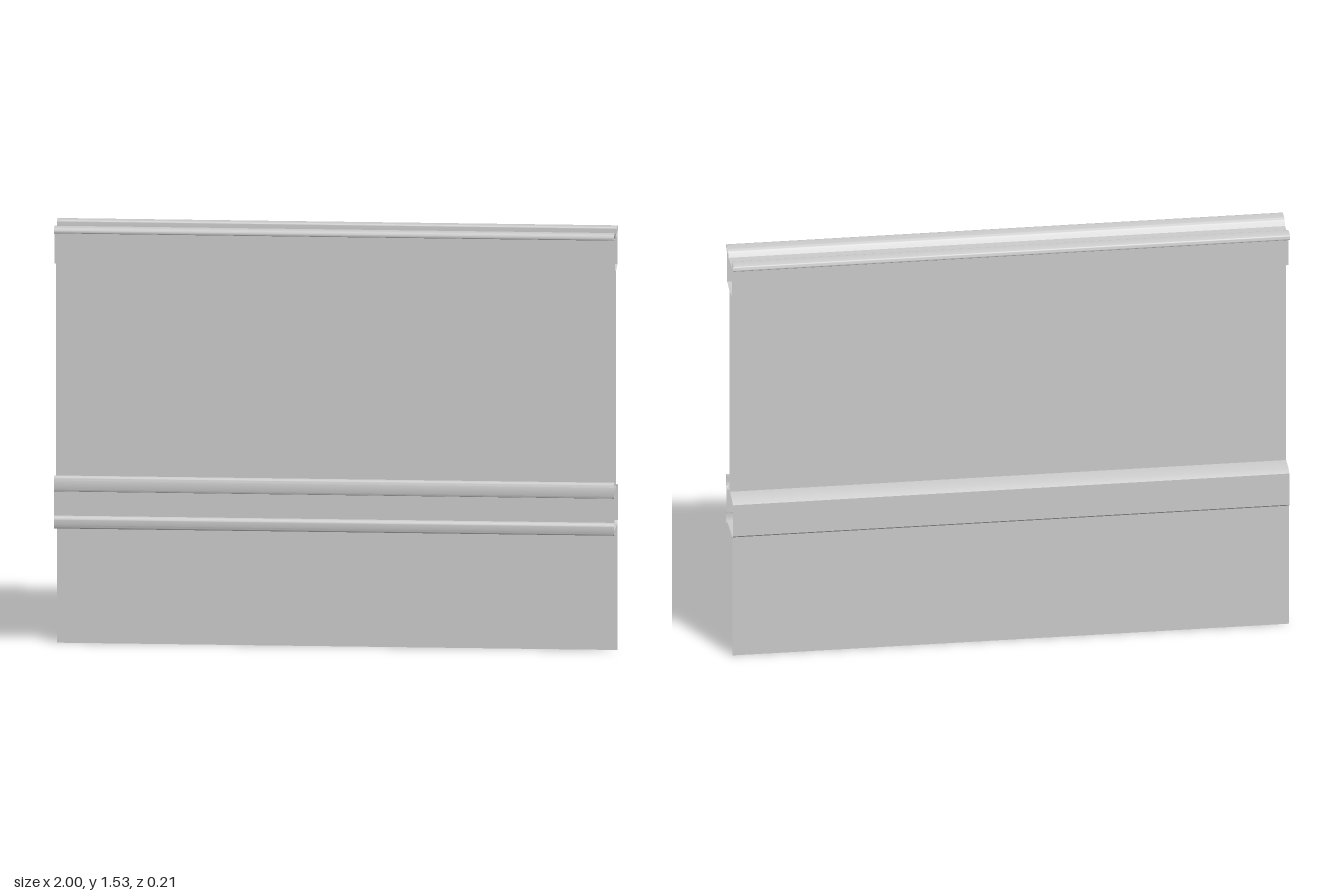
import * as THREE from 'three';
import { toCreasedNormals } from 'three/addons/utils/BufferGeometryUtils.js';

const material = new THREE.MeshStandardMaterial({ color: 0xcccccc, side: THREE.DoubleSide });
const LENGTH = 2;

// Profile of [z, y, radius] points; a radius rounds that corner.
function roundProfile(points) {
  const out = [];
  points.forEach(([z, y, r], i) => {
    const p = new THREE.Vector2(z, y);
    if (!r) return out.push(p);
    const toward = ([a, b]) => new THREE.Vector2(a, b).sub(p).setLength(r).add(p);
    const bend = new THREE.QuadraticBezierCurve(toward(points[i - 1]), p, toward(points[i + 1]));
    out.push(...bend.getPoints(6));
  });
  return out;
}

// Thin folded sheet: sweep the profile along x, open at both ends.
function foldedSheet(name, points) {
  const profile = roundProfile(points);
  const h = LENGTH / 2;
  const positions = [];
  for (let i = 0; i < profile.length - 1; i++) {
    const a = profile[i], b = profile[i + 1];
    positions.push(-h, a.y, a.x, h, b.y, b.x, h, a.y, a.x);
    positions.push(-h, a.y, a.x, -h, b.y, b.x, h, b.y, b.x);
  }
  const geometry = new THREE.BufferGeometry();
  geometry.setAttribute('position', new THREE.Float32BufferAttribute(positions, 3));
  geometry.computeVertexNormals();
  const mesh = new THREE.Mesh(toCreasedNormals(geometry, 0.6), material);
  mesh.name = name;
  return mesh;
}

export function createModel() {
  const group = new THREE.Group();
  group.name = 'railPanel';

  // Flat panels, the lower one set further back
  group.add(foldedSheet('lowerPanel', [[-0.072, 0], [-0.072, 0.462]]));
  group.add(foldedSheet('upperPanel', [[0, 0.608], [0, 1.39]]));

  // Hollow top rail with two rounded lips on its upper side
  group.add(foldedSheet('topRail', [
    [0, 1.39], [0.067, 1.4], [0.067, 1.515],
    [0.09, 1.515], [0.1, 1.515, 0.005], [0.1, 1.535, 0.012],
    [0.045, 1.535, 0.012], [0.03, 1.51],
    [-0.055, 1.51], [-0.055, 1.535, 0.006],
    [-0.105, 1.535, 0.014], [-0.105, 1.515, 0.004],
    [-0.065, 1.515], [-0.065, 1.4], [0, 1.39],
  ]));

  // Hollow middle rail with two rounded lips on its front
  group.add(foldedSheet('middleRail', [
    [-0.072, 0.462], [-0.082, 0.47], [-0.082, 0.592], [-0.06, 0.604], [0, 0.608],
    [0.08, 0.608], [0.08, 0.635], [0.103, 0.635, 0.014], [0.103, 0.58, 0.008],
    [0.082, 0.58], [0.082, 0.49],
    [0.103, 0.49, 0.012], [0.103, 0.445, 0.014], [0.08, 0.445],
    [0.08, 0.462], [-0.072, 0.462],
  ]));

  return group;
}
